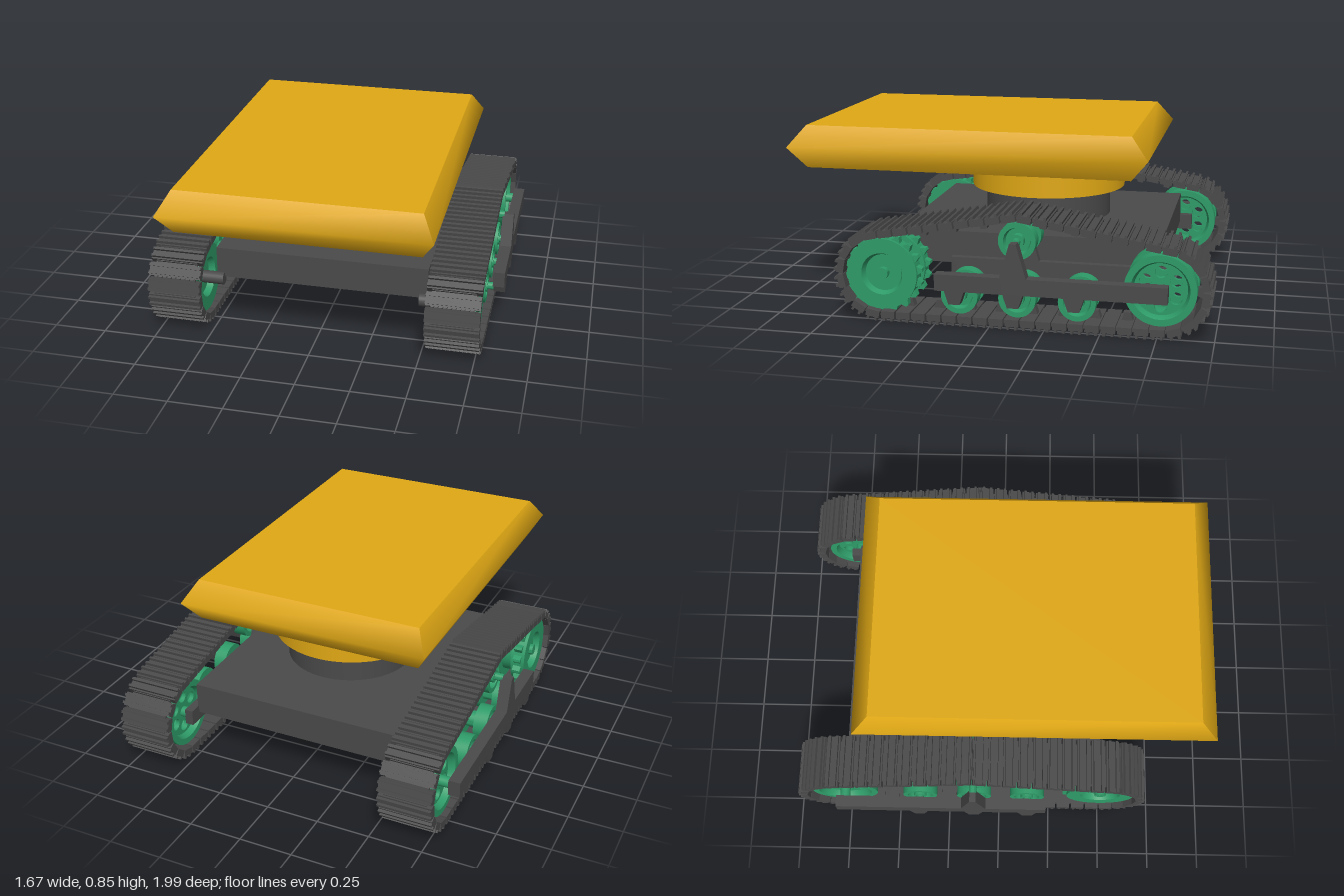
import * as THREE from 'three';
import { mergeGeometries, toCreasedNormals } from 'three/addons/utils/BufferGeometryUtils.js';

const yellow = new THREE.MeshStandardMaterial({ color: 0xe0a814 });
const green = new THREE.MeshStandardMaterial({ color: 0x2e9b68 });
const dark = new THREE.MeshStandardMaterial({ color: 0x4a4a4a });

const TRACK_X = 0.652;   // middle of each track
const AXLE_Y = 0.215;    // height of sprocket and idler

function add(parent, name, geometry, material, x = 0, y = 0, z = 0) {
  const mesh = new THREE.Mesh(geometry, material);
  mesh.name = name;
  mesh.position.set(x, y, z);
  parent.add(mesh);
  return mesh;
}

// Slab with a pointed rim: three rectangles joined, each side smooth over its ridge
function slabGeometry(halfX, halfZ, halfY, insetX, insetZ) {
  const rows = [[-halfY, 1], [0, 0], [halfY, 1]];
  const corners = [[-1, 1], [1, 1], [1, -1], [-1, -1]];
  const point = (c, [y, k]) => [c[0] * (halfX - k * insetX), y, c[1] * (halfZ - k * insetZ)];
  const pos = [], idx = [];
  for (let s = 0; s < 4; s++) {
    const b = pos.length / 3;
    for (const row of rows) pos.push(...point(corners[s], row), ...point(corners[(s + 1) % 4], row));
    for (const r of [b, b + 2]) idx.push(r, r + 1, r + 3, r, r + 3, r + 2);
  }
  for (const row of [rows[2], rows[0]]) {
    const b = pos.length / 3;
    for (const c of corners) pos.push(...point(c, row));
    if (row === rows[2]) idx.push(b, b + 1, b + 2, b, b + 2, b + 3);
    else idx.push(b, b + 2, b + 1, b, b + 3, b + 2);
  }
  const g = new THREE.BufferGeometry();
  g.setAttribute('position', new THREE.Float32BufferAttribute(pos, 3));
  g.setIndex(idx);
  g.computeVertexNormals();
  return g;
}

// Turned part about the axle; half profile [radius, offset] from the middle to the outer face
function wheelGeometry(half, segments = 40) {
  const lower = half.map(([r, w]) => new THREE.Vector2(r, -w)).reverse();
  const upper = half.map(([r, w]) => new THREE.Vector2(r, w));
  const g = new THREE.LatheGeometry([...lower, ...upper], segments);
  return toCreasedNormals(g.rotateX(Math.PI / 2), 0.5);
}

// Flat plate centred on its thickness
function plateGeometry(shape, depth) {
  return new THREE.ExtrudeGeometry(shape, { depth, bevelEnabled: false, curveSegments: 24 })
    .translate(0, 0, -depth / 2);
}

function toothedShape(teeth, root, tip) {
  const pts = [];
  for (let i = 0; i < teeth; i++) {
    for (const [f, r] of [[0, root], [0.3, root], [0.55, tip], [0.75, tip]]) {
      const a = (i + f) / teeth * Math.PI * 2;
      pts.push(new THREE.Vector2(Math.cos(a) * r, Math.sin(a) * r));
    }
  }
  return new THREE.Shape(pts);
}

function spokedShape(radius, holes, holeRadius, holeCircle) {
  const shape = new THREE.Shape().absarc(0, 0, radius, 0, Math.PI * 2);
  for (let i = 0; i < holes; i++) {
    const a = (i + 0.5) / holes * Math.PI * 2;
    shape.holes.push(new THREE.Path().absarc(
      Math.cos(a) * holeCircle, Math.sin(a) * holeCircle, holeRadius, 0, Math.PI * 2, true));
  }
  return shape;
}

// Side beam with hangers for the road wheels and a post for the return roller
function beamShape(wheelZ, postZ) {
  const pts = [[-0.8, 0.18]];
  for (const z of wheelZ) pts.push([z - 0.045, 0.18], [z - 0.025, 0.12], [z + 0.025, 0.12], [z + 0.045, 0.18]);
  pts.push([0.23, 0.18], [0.23, 0.255], [postZ + 0.06, 0.255], [postZ + 0.015, 0.41],
    [postZ - 0.015, 0.41], [postZ - 0.06, 0.255], [-0.8, 0.255]);
  return new THREE.Shape(pts.map(p => new THREE.Vector2(...p)));
}

// Belt line wrapped tightly around circles [z, y, radius], counter-clockwise
function beltPath(circles) {
  const n = circles.length;
  const exit = circles.map((a, i) => {
    const b = circles[(i + 1) % n], dz = b[0] - a[0], dy = b[1] - a[1];
    return Math.atan2(dy, dz) - Math.acos((a[2] - b[2]) / Math.hypot(dz, dy));
  });
  const path = new THREE.Path();
  circles.forEach(([z, y, r], i) => path.absarc(z, y, r, exit[(i + n - 1) % n], exit[i], false));
  return path.closePath();
}

// Links with two outer cleats each and a guide tooth on every other link
function trackGeometry(path, count) {
  const step = path.getLength() / count, parts = [];
  const tooth = plateGeometry(new THREE.Shape([[-0.026, 0.015], [0.026, 0.015], [0.014, 0.052], [-0.014, 0.052]]
    .map(p => new THREE.Vector2(...p))), 0.04).toNonIndexed();
  for (let i = 0; i < count; i++) {
    const t = (i + 0.5) / count, p = path.getPoint(t), d = path.getTangent(t);
    const link = [new THREE.BoxGeometry(step * 0.88, 0.032, 0.25).toNonIndexed(),
      new THREE.BoxGeometry(step, 0.016, 0.2).toNonIndexed()];
    for (const u of [-0.018, 0.018]) {
      link.push(new THREE.BoxGeometry(0.012, 0.018, 0.25).toNonIndexed().translate(u, -0.021, 0));
    }
    if (i % 2 === 0) link.push(tooth.clone());
    for (const g of link) parts.push(g.rotateZ(Math.atan2(d.y, d.x)).translate(p.x, p.y, 0));
  }
  return mergeGeometries(parts);
}

function createTrackUnit(side) {
  // Built with local x along the vehicle (front = +x) and local z across it
  const unit = new THREE.Group();
  unit.rotation.y = -Math.PI / 2;
  const out = -side;                       // local z that points away from the hull
  const wheelZ = [-0.395, -0.125, 0.14], rollerZ = -0.125;

  // Track belt
  const path = beltPath([[0.505, AXLE_Y, 0.185], [rollerZ, 0.4, 0.11], [-0.775, AXLE_Y, 0.185]]);
  add(unit, 'trackBelt', trackGeometry(path, 52), dark);

  // Drive sprocket: dished drum between two toothed rings
  const sprocket = new THREE.Group();
  sprocket.name = 'driveSprocket';
  sprocket.position.set(0.5, AXLE_Y, 0);
  unit.add(sprocket);
  add(sprocket, 'sprocketDrum', wheelGeometry([[0.125, 0], [0.125, 0.03], [0.165, 0.03], [0.165, 0.1],
    [0.097, 0.1], [0.085, 0.07], [0.027, 0.07], [0.027, 0.1], [0.001, 0.1]]), green);
  const ring = toothedShape(18, 0.165, 0.187);
  ring.holes.push(new THREE.Path().absarc(0, 0, 0.12, 0, Math.PI * 2, true));
  for (const w of [-0.065, 0.065]) add(sprocket, 'sprocketTeeth', plateGeometry(ring, 0.04), green, 0, 0, w);
  const shaft = new THREE.CylinderGeometry(0.03, 0.03, 0.12, 24).rotateX(Math.PI / 2);
  add(sprocket, 'driveShaft', shaft, dark, 0, 0, -out * 0.12);

  // Rear idler: twin rims with pierced discs
  const idler = new THREE.Group();
  idler.name = 'idlerWheel';
  idler.position.set(-0.76, AXLE_Y, 0);
  unit.add(idler);
  const rim = wheelGeometry([[0.13, 0], [0.13, 0.03], [0.16, 0.03], [0.16, 0.1], [0.13, 0.1], [0.118, 0.07], [0.118, 0]]);
  add(idler, 'idlerRim', rim, green);
  const disc = plateGeometry(spokedShape(0.122, 6, 0.028, 0.078), 0.02);
  for (const w of [-0.06, 0.06]) add(idler, 'idlerDisc', disc, green, 0, 0, w);
  const axle = new THREE.CylinderGeometry(0.025, 0.025, 0.28, 24).rotateX(Math.PI / 2);
  add(idler, 'idlerAxle', axle, green);

  // Road wheels and return roller share one twin-disc wheel
  const wheel = wheelGeometry([[0.04, 0], [0.04, 0.03], [0.085, 0.03], [0.085, 0.095], [0.062, 0.095],
    [0.055, 0.065], [0.032, 0.065], [0.032, 0.1], [0.018, 0.1], [0.018, 0.14], [0.001, 0.14]], 32);
  for (const z of wheelZ) add(unit, 'roadWheel', wheel, green, z, 0.135, 0);
  add(unit, 'returnRoller', wheel, green, rollerZ, 0.4, 0);

  // Side beams on both faces of the wheels
  const beam = beamShape(wheelZ, rollerZ);
  add(unit, 'outerBeam', plateGeometry(beam, 0.055), dark, 0, 0, out * 0.158);
  add(unit, 'innerBeam', plateGeometry(beam, 0.04), dark, 0, 0, -out * 0.127);

  const holder = new THREE.Group();
  holder.name = side > 0 ? 'leftTrackUnit' : 'rightTrackUnit';
  holder.position.x = side * TRACK_X - 0.003;
  holder.add(unit);
  return holder;
}

export function createModel() {
  const model = new THREE.Group();
  model.name = 'trackedPlatform';

  // Hull and turntable
  add(model, 'hull', new THREE.BoxGeometry(1.02, 0.15, 1.23), dark, -0.003, 0.295, -0.125);
  add(model, 'turntable', new THREE.CylinderGeometry(0.305, 0.305, 0.16, 64), dark, -0.005, 0.445, -0.125);
  add(model, 'turntableCollar', new THREE.CylinderGeometry(0.375, 0.375, 0.145, 64), yellow, -0.012, 0.583, -0.125);

  // Deck
  add(model, 'deck', slabGeometry(0.605, 0.84, 0.1, 0.057, 0.08), yellow, -0.005, 0.75, 0.16);

  // Running gear
  for (const side of [-1, 1]) model.add(createTrackUnit(side));
  return model;
}
